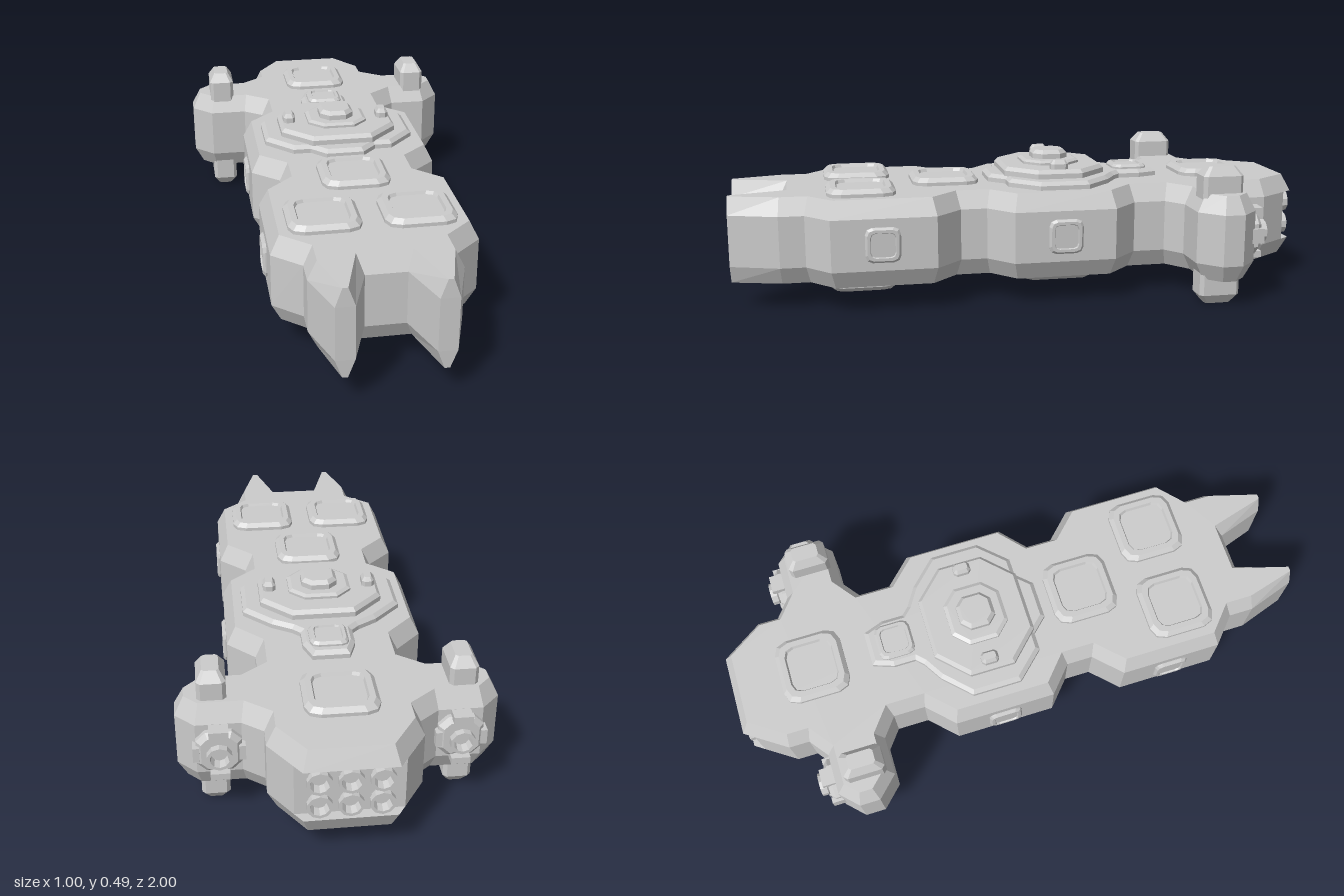
import * as THREE from 'three';

const material = new THREE.MeshStandardMaterial({ color: 0xcccccc, flatShading: true });

// Adds the x-mirrored half, giving a closed outline of [x, z] points
const mirrored = (half) => half.concat(half.map(([x, z]) => [-x, z]).reverse());

// Rectangle outline with cut corners, or softer two-step corners
function rect(hx, hz, c, cz = 0, soft = false) {
  const k = c * 0.29;
  const half = [[hx - c, -hz], [hx - k, -hz + k], [hx, -hz + c], [hx, hz - c], [hx - k, hz - k], [hx - c, hz]];
  const pts = soft ? half : half.filter((_, i) => i % 3 !== 1);
  return mirrored(pts.map(([x, z]) => [x, z + cz]));
}

// Moves every edge of an outline inwards by d
function inset(pts, d) {
  const n = pts.length;
  const normal = (a, b) => {
    const l = Math.hypot(b[0] - a[0], b[1] - a[1]);
    return [(b[1] - a[1]) / l, (a[0] - b[0]) / l];
  };
  return pts.map((p, i) => {
    const a = normal(pts[(i + n - 1) % n], p), b = normal(p, pts[(i + 1) % n]);
    const k = d / (1 + a[0] * b[0] + a[1] * b[1]);
    return [p[0] - k * (a[0] + b[0]), p[1] - k * (a[1] + b[1])];
  });
}

// Skins a stack of [outline, y] rings and caps both ends; the first cap may be open or have a hole
function loft(rings, { openStart = false, hole = null } = {}) {
  const pos = [];
  const tri = (a, b, c) => {
    const u = new THREE.Vector3(...b).sub(new THREE.Vector3(...a));
    const v = new THREE.Vector3(...c).sub(new THREE.Vector3(...a));
    if (u.cross(v).length() > 1e-9) pos.push(...a, ...b, ...c);
  };
  const at = ([pts, y], i) => { const p = pts[i % pts.length]; return [p[0], y, p[1]]; };
  for (let r = 0; r + 1 < rings.length; r++) {
    const lo = rings[r], hi = rings[r + 1];
    for (let i = 0; i < lo[0].length; i++) {
      tri(at(lo, i), at(hi, i), at(lo, i + 1));
      tri(at(lo, i + 1), at(hi, i), at(hi, i + 1));
    }
  }
  const cap = ([pts, y], up, holes) => {
    const toV = (q) => q.map((p) => new THREE.Vector2(p[0], p[1]));
    const all = pts.concat(...holes);
    for (const f of THREE.ShapeUtils.triangulateShape(toV(pts), holes.map(toV))) {
      const [a, b, c] = f.map((i) => [all[i][0], y, all[i][1]]);
      const ny = (b[2] - a[2]) * (c[0] - a[0]) - (b[0] - a[0]) * (c[2] - a[2]);
      if ((ny > 0) === up) tri(a, b, c); else tri(a, c, b);
    }
  };
  if (!openStart) cap(rings[0], false, hole ? [hole] : []);
  cap(rings[rings.length - 1], true, []);
  const g = new THREE.BufferGeometry();
  g.setAttribute('position', new THREE.Float32BufferAttribute(pos, 3));
  g.computeVertexNormals();
  return g;
}

// Raised square pad with a shallow sunken centre
function padGeometry(size, h) {
  const s = size / 2, ring = (k) => rect(s * k, s * k, s * k * 0.4, 0, true);
  return loft([[ring(1), -0.005], [ring(1), h * 0.45], [ring(0.88), h], [ring(0.72), h], [ring(0.68), h * 0.6]]);
}

// Hollow thruster bell pointing to -z
function nozzleGeometry(r, len) {
  const profile = [[r * 0.8, 0], [r * 0.8, len * 0.4], [r, len * 0.55], [r, len], [r * 0.75, len], [r * 0.6, len * 0.3], [0, len * 0.3]];
  return new THREE.LatheGeometry(profile.map((p) => new THREE.Vector2(...p)), 10).rotateX(-Math.PI / 2);
}

export function createModel() {
  const model = new THREE.Group();
  const add = (name, geometry, x = 0, y = 0, z = 0, rz = 0) => {
    const m = new THREE.Mesh(geometry, material);
    m.name = name;
    m.position.set(x, y, z);
    m.rotation.z = rz;
    model.add(m);
    return m;
  };

  // Hull: bevelled plan outline with a slot across the stern and a hatch hole below
  const outline = mirrored([
    [0.14, -1], [0.235, -0.86], [0.235, -0.79], [0.3, -0.74], [0.44, -0.74], [0.5, -0.68], [0.5, -0.61],
    [0.43, -0.54], [0.3, -0.54], [0.235, -0.49], [0.235, -0.38], [0.325, -0.29], [0.325, 0.06], [0.235, 0.14],
    [0.235, 0.23], [0.325, 0.32], [0.325, 0.67], [0.235, 0.75], [0.235, 0.835], [0.18, 1], [0.12, 1], [0.065, 0.835],
  ]);
  const slot = outline.map(([x, z]) => (z === -1 ? [Math.sign(x) * 0.164, -0.965] : [x, z]));
  const rim = inset(outline, 0.03).map(([x, z]) => [x, z > 0.9 ? 0.998 : z]);
  const hatch = rect(0.2, 0.145, 0.08, -0.11);
  add('hull', loft([[rim, 0.09], [outline, 0.15], [slot, 0.15], [slot, 0.325], [outline, 0.325], [rim, 0.385]], { hole: hatch }));

  // Hatch frame and sunken bay under the hull, turned to face down
  add('hatchBay', loft([
    [rect(0.265, 0.2, 0.1, -0.11), -0.005], [rect(0.255, 0.195, 0.1, -0.11), 0.012], [rect(0.235, 0.178, 0.09, -0.11), 0.026],
    [hatch, 0.026], [hatch, -0.05], [rect(0.17, 0.115, 0.06, -0.11), -0.05], [rect(0.17, 0.115, 0.06, -0.11), -0.09],
  ], { openStart: true }), 0, 0.09, 0, Math.PI);

  // Stepped deck on top
  const deck = mirrored([
    [0.06, -0.51], [0.085, -0.44], [0.085, -0.365], [0.11, -0.34], [0.175, -0.3], [0.265, -0.21], [0.265, -0.04],
    [0.175, 0.055], [0.115, 0.055], [0.065, 0.108],
  ]);
  add('deckPlate', loft([[deck, 0.38], [deck, 0.4], [inset(deck, 0.014), 0.412]]));
  const tiers = [
    ['deckTier', 0.205, 0.178, 0.1, 0.41, 0.442],
    ['turretBase', 0.105, 0.1, 0.05, 0.44, 0.457],
    ['turretCap', 0.06, 0.062, 0.03, 0.455, 0.487],
  ];
  for (const [name, hx, hz, c, y0, y1] of tiers) {
    const o = rect(hx, hz, c, -0.122);
    add(name, loft([[o, y0], [o, y0 + (y1 - y0) * 0.6], [inset(o, 0.012), y1]]));
  }
  const bead = rect(0.021, 0.03, 0.01);

  // Square pads above and below
  const pad = padGeometry(0.23, 0.026);
  for (const [x, z] of [[0, -0.71], [0, 0.26], [0.15, 0.56], [-0.15, 0.56]]) {
    add('topPad', pad, x, 0.385, z);
    add('bottomPad', pad, x, 0.09, z, Math.PI);
  }
  add('smallTopPad', padGeometry(0.125, 0.016), 0, 0.411, -0.415);
  add('smallBottomPad', padGeometry(0.125, 0.012), 0, 0.09, -0.42, Math.PI);

  // Paired parts: deck beads, side pads, arm pods and arm thrusters
  const sidePad = padGeometry(0.118, 0.014);
  const pod = rect(0.045, 0.07, 0.012), podEnd = rect(0.026, 0.045, 0.008);
  for (const s of [1, -1]) {
    add('deckBead', loft([[bead, 0.435], [bead, 0.46], [inset(bead, 0.009), 0.474]]), s * 0.17, 0, -0.123);
    for (const z of [-0.115, 0.5]) add('sidePad', sidePad, s * 0.323, 0.2375, z, -s * Math.PI / 2);
    add('armPod', loft([[podEnd, 0], [pod, 0.032], [pod, 0.443], [podEnd, 0.475]]), s * 0.385, 0, -0.63);

    const collar = rect(0.07, 0.07, 0.03), x = s * 0.37;
    const base = loft([[collar, -0.02], [collar, 0.02], [inset(collar, 0.015), 0.035]]).rotateX(-Math.PI / 2);
    add('armThrusterCollar', base, x, 0.2375, -0.735);
    add('armThruster', nozzleGeometry(0.04, 0.05), x, 0.2375, -0.75);
    for (const t of [1, -1]) {
      add('thrusterClaw', new THREE.BoxGeometry(0.06, 0.022, 0.06), x, 0.2375 + t * 0.076, -0.755);
      add('thrusterLug', new THREE.BoxGeometry(0.02, 0.05, 0.045), x + t * 0.07, 0.2375, -0.75);
    }
  }

  // Stern thrusters in two rows of three
  const nozzle = nozzleGeometry(0.039, 0.04);
  for (const x of [-0.092, 0, 0.092]) {
    for (const y of [0.196, 0.279]) add('sternThruster', nozzle, x, y, -0.96);
  }
  return model;
}
